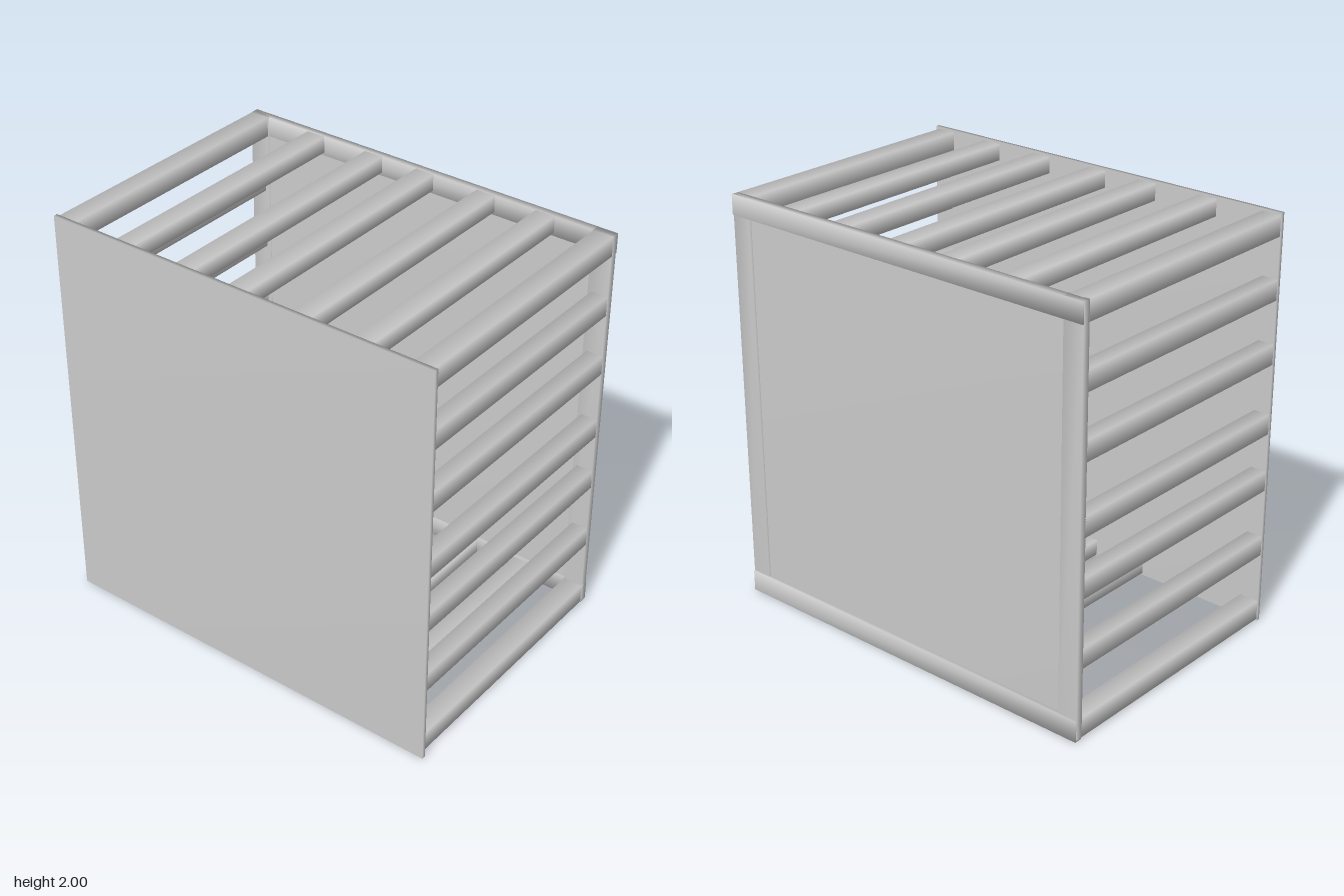
import * as THREE from 'three';
import { mergeVertices } from 'three/addons/utils/BufferGeometryUtils.js';

// Box given by its min and max corners, with normals blended across the edges
function softBox(name, [x0, y0, z0], [x1, y1, z1], material) {
  const box = new THREE.BoxGeometry(x1 - x0, y1 - y0, z1 - z0);
  box.translate((x0 + x1) / 2, (y0 + y1) / 2, (z0 + z1) / 2);
  box.deleteAttribute('normal');
  box.deleteAttribute('uv');
  const geometry = mergeVertices(box);
  geometry.computeVertexNormals();
  const mesh = new THREE.Mesh(geometry, material);
  mesh.name = name;
  return mesh;
}

export function createModel() {
  const group = new THREE.Group();
  group.name = 'crate';
  const material = new THREE.MeshStandardMaterial({ color: 0xcccccc });
  const add = (name, min, max) => group.add(softBox(name, min, max, material));

  const half = 0.048;                 // half the width of a slat
  const depth = 0.08;                 // thickness of a slat
  const zFront = 0.66, zBack = -0.645; // slats run between these planes
  const left = -1, right = 0.98, bottom = 0.01, top = 1.99;

  // Solid front panel
  add('frontPanel', [-1, 0, zFront], [1, 2, 0.68]);

  // Back panel, set into its frame
  add('backPanel', [-0.92, 0.08, -0.665], [0.91, 1.92, -0.648]);

  // Back frame: two posts and two slightly thicker rails
  add('backPost', [left, bottom, -0.676], [left + 0.1, top, -0.64]);
  add('backPost', [right - 0.1, bottom, -0.676], [right, top, -0.64]);
  add('backRail', [left, 0.005, -0.682], [right, 0.108, -0.644]);
  add('backRail', [left, 1.895, -0.682], [right, top, -0.644]);

  // Slats of the top and bottom; the outer ones form the corners
  for (const x of [-0.95, -0.615, -0.283, 0.002, 0.332, 0.64, 0.932]) {
    const d = Math.abs(x) > 0.9 ? 2 * half : depth;
    add('topSlat', [x - half, top - d, zBack], [x + half, top, zFront]);
    add('bottomSlat', [x - half, bottom, zBack], [x + half, bottom + d, zFront]);
  }

  // Slats of both sides
  for (const y of [0.397, 0.728, 1.01, 1.347, 1.65]) {
    add('sideSlat', [left, y - half, zBack], [left + depth, y + half, zFront]);
    add('sideSlat', [right - depth, y - half, zBack], [right, y + half, zFront]);
  }

  return group;
}
